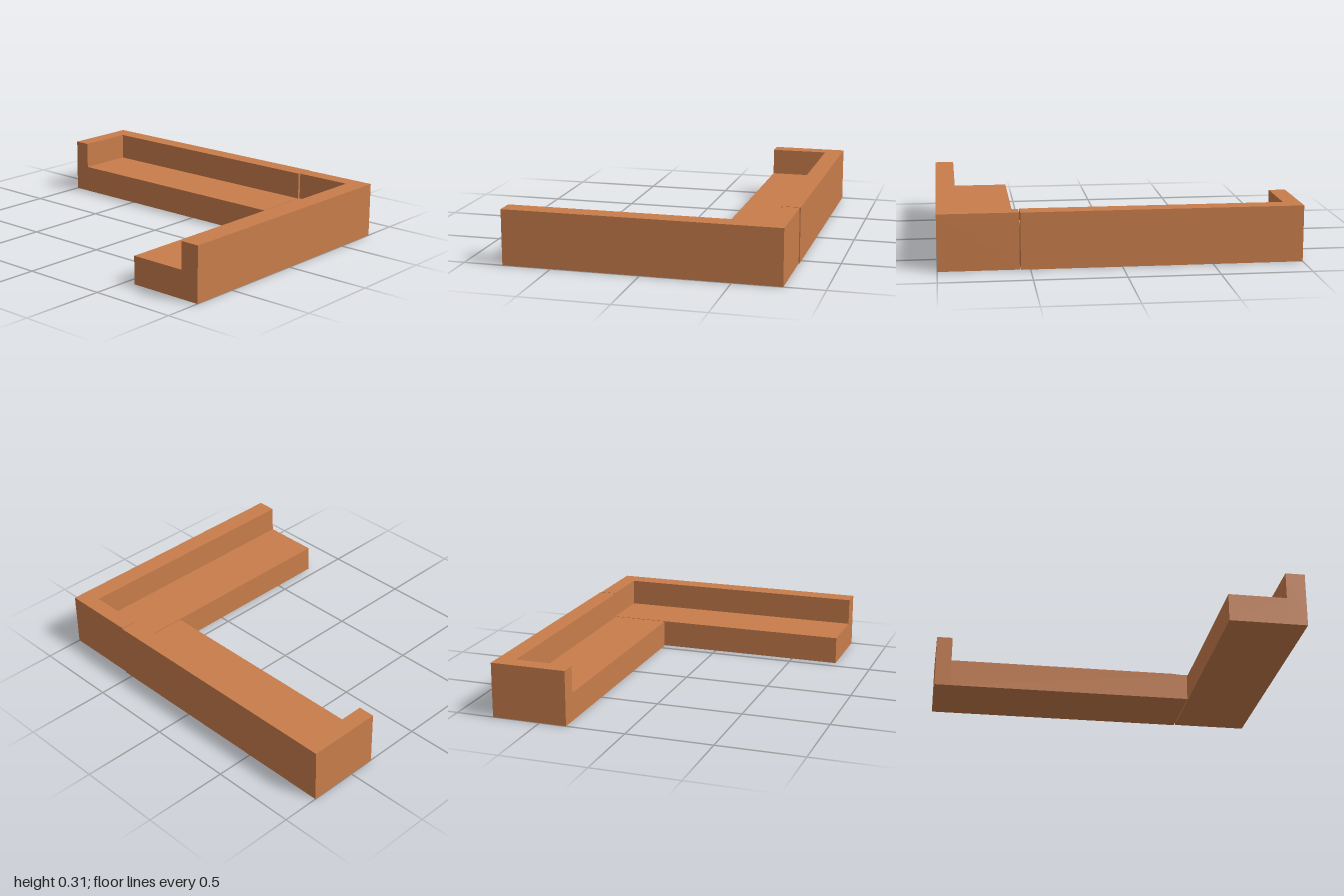
import * as THREE from 'three';

const HEIGHT = 0.315, SEAT = 0.16;

// One sofa section: backrest along -z, armrest at -x, other sides open
function section(name, length, depth, back, arm, material) {
  const group = new THREE.Group();
  group.name = name;
  const x = length / 2, z = depth / 2;

  // L-shaped backrest and armrest, drawn in plan and raised to full height
  const plan = new THREE.Shape([
    [-x, -z], [x, -z], [x, -z + back], [-x + arm, -z + back], [-x + arm, z], [-x, z],
  ].map(([px, pz]) => new THREE.Vector2(px, pz)));
  const wallGeometry = new THREE.ExtrudeGeometry(plan, { depth: HEIGHT, bevelEnabled: false });
  wallGeometry.rotateX(Math.PI / 2).translate(0, HEIGHT, 0);
  const wall = new THREE.Mesh(wallGeometry, material);
  wall.name = 'backrestAndArmrest';

  // Low seat filling the inside of the L
  const seat = new THREE.Mesh(new THREE.BoxGeometry(length - arm, SEAT, depth - back), material);
  seat.position.set(arm / 2, SEAT / 2, back / 2);
  seat.name = 'seat';

  group.add(wall, seat);
  return group;
}

export function createModel() {
  const model = new THREE.Group();
  model.name = 'cornerSofa';
  const upholstery = new THREE.MeshStandardMaterial({ color: 0xc87d4b });
  upholstery.name = 'terracotta upholstery';

  // Rear section, leaving a narrow gap beside the side section
  const rear = section('rearSection', 1.552, 0.438, 0.105, 0.095, upholstery);
  rear.position.set(-0.224, 0, -0.561);

  // Side section, turned so its backrest faces +x and its armrest -z
  const side = section('sideSection', 1.552, 0.442, 0.111, 0.092, upholstery);
  side.rotation.y = -Math.PI / 2;
  side.position.set(0.779, 0, 0.001);

  model.add(rear, side);
  return model;
}
